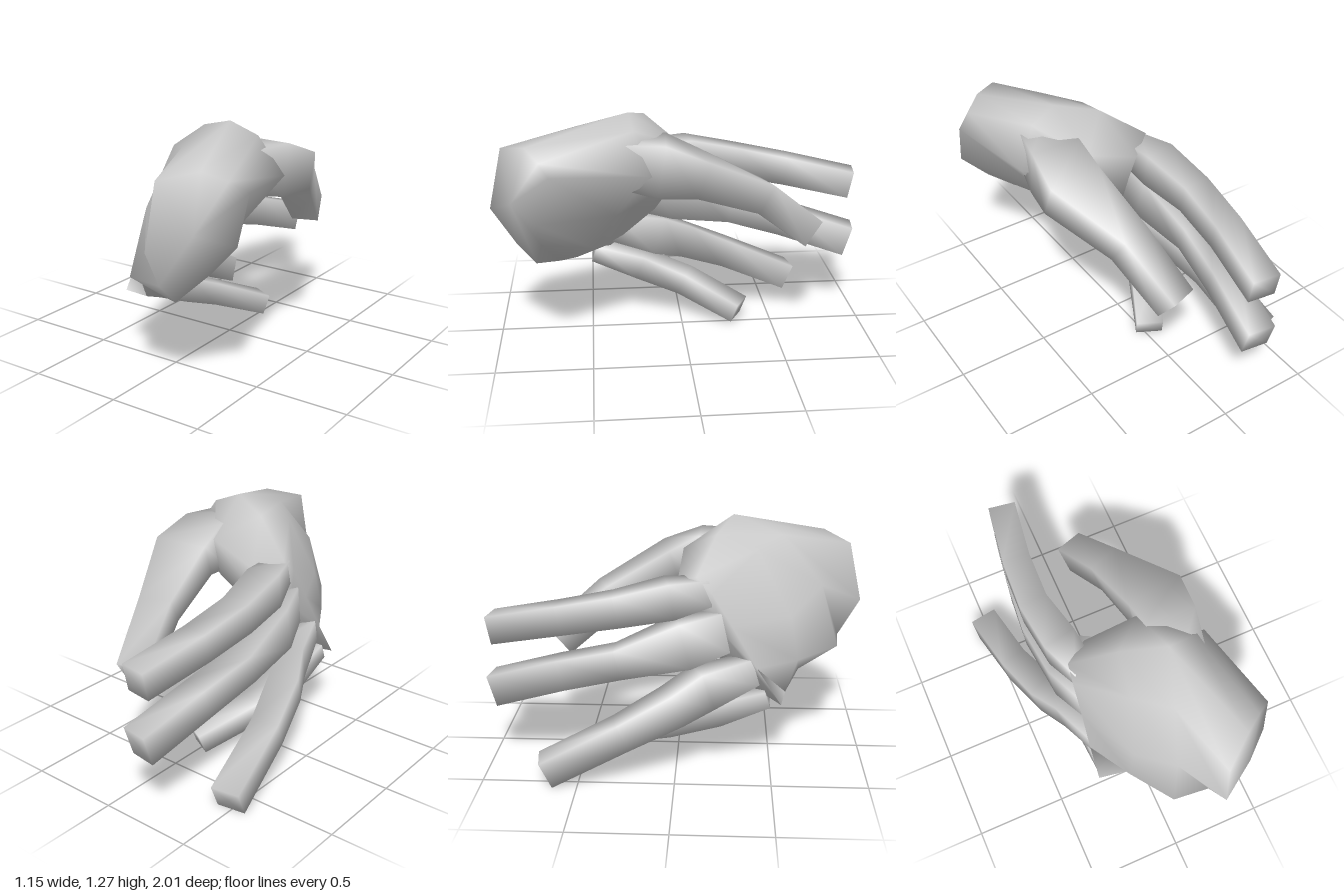
import * as THREE from 'three';

const material = new THREE.MeshStandardMaterial({ color: 0xcccccc, side: THREE.DoubleSide });

// Skin a list of rings (each counter-clockwise seen from the start) and
// close both ends with a fan; shared vertices keep the shading smooth.
function loft(name, rings, startCentre) {
  const n = rings[0].length, pos = [], index = [];
  const add = p => pos.push(...p) / 3 - 1;
  const mean = r => [0, 1, 2].map(k => r.reduce((s, p) => s + p[k], 0) / r.length);
  rings.forEach(r => r.forEach(add));
  for (let i = 0; i < rings.length - 1; i++) {
    for (let j = 0; j < n; j++) {
      const a = i * n + j, b = i * n + (j + 1) % n;
      index.push(a, a + n, b, b, a + n, b + n);
    }
  }
  const base = (rings.length - 1) * n;
  const c0 = add(startCentre ?? mean(rings[0])), c1 = add(mean(rings[rings.length - 1]));
  for (let j = 0; j < n; j++) {
    index.push(c0, j, (j + 1) % n, c1, base + (j + 1) % n, base + j);
  }
  const geometry = new THREE.BufferGeometry();
  geometry.setAttribute('position', new THREE.Float32BufferAttribute(pos, 3));
  geometry.setIndex(index);
  geometry.computeVertexNormals();
  const mesh = new THREE.Mesh(geometry, material);
  mesh.name = name;
  return mesh;
}

// Four-sided finger from stations [x, y, z, width, height]
const corners = [[1, -1], [1, 1], [-1, 1], [-1, -1]];
function finger(name, stations) {
  const pts = stations.map(s => new THREE.Vector3(s[0], s[1], s[2]));
  const dir = (a, b) => pts[b].clone().sub(pts[a]).normalize();
  const rings = stations.map((s, i) => {
    const t = new THREE.Vector3();
    if (i > 0) t.add(dir(i - 1, i));
    if (i < pts.length - 1) t.add(dir(i, i + 1));
    t.normalize();
    const side = new THREE.Vector3().crossVectors(t, new THREE.Vector3(0, 1, 0)).normalize();
    const up = new THREE.Vector3().crossVectors(side, t);
    return corners.map(([u, v]) => pts[i].clone()
      .addScaledVector(side, u * s[3] / 2).addScaledVector(up, v * s[4] / 2).toArray());
  });
  return loft(name, rings);
}

export function createModel() {
  const hand = new THREE.Group();
  hand.name = 'hand';

  // Palm: rings from wrist to knuckles, each running
  // top, back of hand, bottom edge, palm, thumb side
  hand.add(loft('palm', [
    [[.39, 1.16, .8], [.23, 1.12, .93], [.22, .8, 1], [.2, .6, .88], [.22, .49, .78],
      [.4, .66, .74], [.55, .82, .75], [.57, 1.06, .68], [.49, 1.11, .73]],
    [[.2, 1.28, .29], [.11, 1.19, .56], [.05, .93, .77], [.01, .6, .86], [.07, .44, .66],
      [.13, .53, .48], [.3, .77, .36], [.46, 1.02, .2], [.35, 1.22, .27]],
    [[-.02, 1.22, .2], [-.05, 1.15, .42], [-.11, .8, .6], [-.14, .57, .64], [-.12, .38, .58],
      [-.07, .47, .4], [-.02, .7, .27], [.13, .9, .04], [.16, 1.1, .02]],
    [[-.25, 1.05, .1], [-.26, .97, .18], [-.265, .79, .29], [-.275, .57, .42], [-.28, .37, .55],
      [-.16, .43, .39], [-.13, .65, .14], [-.1, .85, .04], [-.12, 1, 0]],
  ], [.4, .88, .88]));

  // Thumb, growing out of the mound and bent inwards
  hand.add(finger('thumb', [
    [.28, 1.06, .42, .18, .2],
    [.3, 1.03, .13, .27, .27],
    [.31, .99, -.05, .31, .19],
    [.19, .82, -.39, .18, .165],
    [.1, .585, -.67, .155, .16],
  ]));

  // Four fingers, fanning down from the knuckles
  hand.add(finger('indexFinger', [
    [-.18, .96, .16, .12, .14],
    [-.23, .935, -.04, .18, .19],
    [-.27, .885, -.31, .155, .165],
    [-.255, .83, -.6, .15, .155],
    [-.2, .755, -.97, .15, .15],
  ]));
  hand.add(finger('middleFinger', [
    [-.19, .75, .24, .12, .22],
    [-.245, .7, .03, .18, .25],
    [-.285, .605, -.3, .15, .16],
    [-.255, .53, -.6, .15, .165],
    [-.2, .415, -.97, .15, .17],
  ]));
  hand.add(finger('ringFinger', [
    [-.2, .54, .4, .12, .15],
    [-.27, .46, .14, .17, .21],
    [-.36, .385, -.02, .16, .185],
    [-.44, .265, -.28, .15, .155],
    [-.5, .078, -.67, .155, .15],
  ]));
  hand.add(finger('littleFinger', [
    [-.2, .39, .48, .14, .09],
    [-.195, .3, .22, .16, .13],
    [-.155, .205, -.03, .155, .12],
    [0, .08, -.32, .145, .11],
  ]));
  return hand;
}
